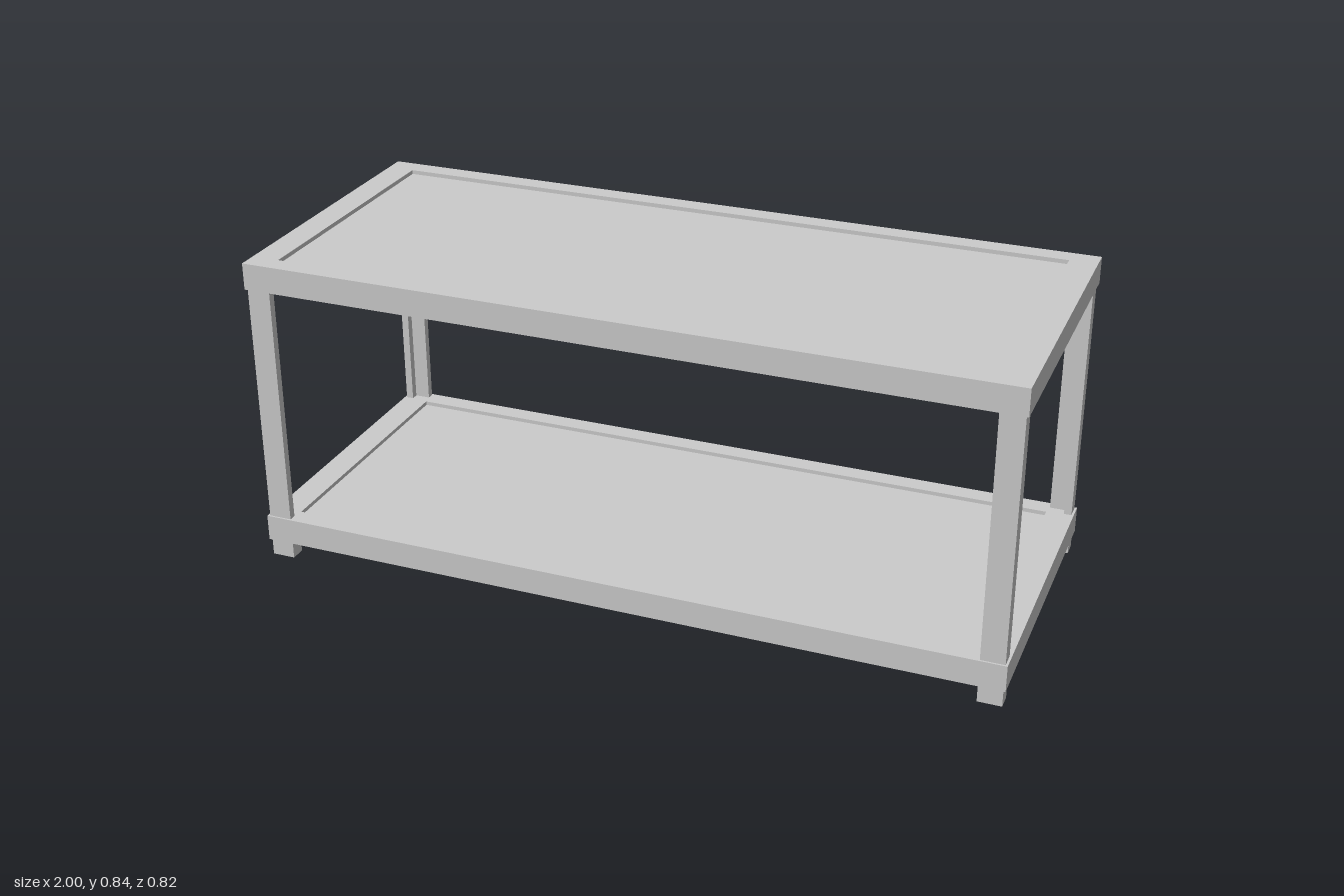
import * as THREE from 'three';

const material = new THREE.MeshStandardMaterial({ color: 0xcccccc, flatShading: true });

// Solid standing on a plan outline of [x, z] corners, from y0 to y1
function slab(name, outline, y0, y1, hole) {
  const toPoints = (list) => list.map(([x, z]) => new THREE.Vector2(x, -z));
  const shape = new THREE.Shape(toPoints(outline));
  if (hole) shape.holes.push(new THREE.Path(toPoints(hole).reverse()));
  const geometry = new THREE.ExtrudeGeometry(shape, { depth: y1 - y0, bevelEnabled: false });
  geometry.rotateX(-Math.PI / 2).translate(0, y0, 0);
  const mesh = new THREE.Mesh(geometry, material);
  mesh.name = name;
  return mesh;
}

const rect = (x0, x1, z0, z1) => [[x0, z1], [x1, z1], [x1, z0], [x0, z0]];

export function createModel() {
  const model = new THREE.Group();
  model.name = 'twoTierTable';

  // Two identical tiers: a rim with a slightly recessed panel
  const rimHeight = 0.071, recess = 0.011, shelfY = 0.046, topY = 0.769;
  for (const [name, y] of [['lowerShelf', shelfY], ['tableTop', topY]]) {
    const tier = new THREE.Group();
    tier.name = name;
    const inner = rect(-0.927, 0.927, -0.36, 0.36);
    tier.add(
      slab('rim', rect(-1, 1, -0.412, 0.412), y, y + rimHeight, inner),
      slab('panel', inner, y + recess, y + rimHeight - recess)
    );
    model.add(tier);
  }

  // Corner posts with an angle section, open towards the middle, on solid feet
  const x0 = 0.932, x1 = 0.994, z0 = 0.366, z1 = 0.407, wall = 0.02;
  const angle = [[x1, z1], [x0, z1], [x0, z1 - wall], [x1 - wall, z1 - wall], [x1 - wall, z0], [x1, z0]];
  for (const sx of [-1, 1]) {
    for (const sz of [-1, 1]) {
      const mirror = (list) => list.map(([x, z]) => [x * sx, z * sz]);
      const leg = new THREE.Group();
      leg.name = (sz > 0 ? 'front' : 'back') + (sx > 0 ? 'Left' : 'Right') + 'Leg';
      leg.add(
        slab('post', mirror(angle), shelfY + rimHeight, topY),
        slab('foot', mirror(rect(x0, x1, z0, z1)), 0, shelfY)
      );
      model.add(leg);
    }
  }
  return model;
}
